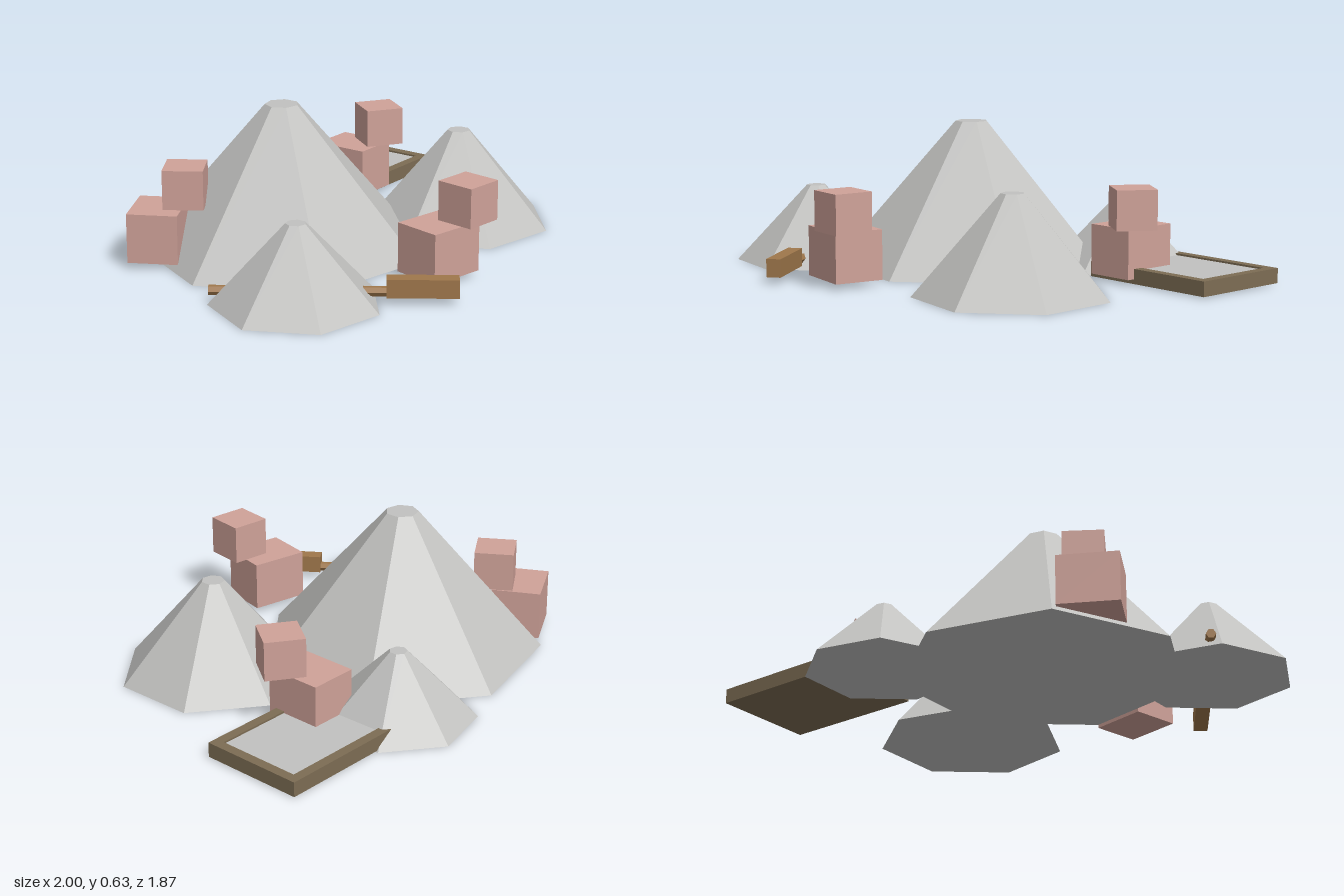
import * as THREE from 'three';

const mat = (name, color) => {
  const m = new THREE.MeshStandardMaterial({ color, flatShading: true });
  m.name = name;
  return m;
};

export function createModel() {
  const stone = mat('pale grey', 0xc2c2c0);
  const brick = mat('dusty pink', 0xcfa299);
  const wood = mat('warm wood', 0x9f774b);
  const trayWood = mat('dull brown', 0x7d6d54);

  const model = new THREE.Group();
  model.name = 'buildingMaterials';

  const add = (parent, name, geometry, material, x = 0, y = 0, z = 0, turn = 0) => {
    const mesh = new THREE.Mesh(geometry, material);
    mesh.name = name;
    mesh.position.set(x, y, z);
    mesh.rotation.y = turn;
    parent.add(mesh);
    return mesh;
  };
  const group = (name, x, y, z, turn) => {
    const g = new THREE.Group();
    g.name = name;
    g.position.set(x, y, z);
    g.rotation.y = turn;
    model.add(g);
    return g;
  };

  // Seven-sided heaps with small flat tops: x, z, radius, top radius, height
  const heaps = [
    ['largeHeap', -0.24, -0.09, 0.62, 0.072, 0.63],
    ['rightHeap', 0.556, 0.182, 0.415, 0.05, 0.42],
    ['leftHeap', -0.655, 0.475, 0.355, 0.042, 0.335],
    ['backHeap', 0.18, -0.61, 0.33, 0.038, 0.295],
  ];
  for (const [name, x, z, r, top, h] of heaps) {
    add(model, name, new THREE.CylinderGeometry(top, r, h, 7), stone, x, h / 2, z, Math.PI);
  }

  // Stacks of two blocks: lower x, z, turn, width, depth, then upper x, z, turn
  const stacks = [
    ['frontStack', -0.028, 0.645, 0, 0.255, 0.215, 0.078, 0.706, 0.08],
    ['leftStack', -0.753, -0.293, 0.7, 0.255, 0.215, -0.652, -0.235, 0.78],
    ['rightStack', 0.497, -0.44, 0.2, 0.215, 0.255, 0.598, -0.378, -0.4],
  ];
  for (const [name, x, z, turn, w, d, ux, uz, uTurn] of stacks) {
    const stack = group(name, 0, 0, 0, 0);
    add(stack, 'lowerBlock', new THREE.BoxGeometry(w, 0.213, d), brick, x, 0.132, z, turn);
    add(stack, 'upperBlock', new THREE.BoxGeometry(0.172, 0.17, 0.172), brick, ux, 0.324, uz, uTurn);
  }

  // Shallow tray: raised frame, floor and grey filling
  const tray = group('tray', 0.639, 0.005, -0.612, 0.203);
  const W = 0.638, D = 0.463, RIM = 0.043;
  const rect = (target, w, d) => target
    .moveTo(-w / 2, -d / 2).lineTo(w / 2, -d / 2)
    .lineTo(w / 2, d / 2).lineTo(-w / 2, d / 2).closePath();
  const outline = rect(new THREE.Shape(), W, D);
  outline.holes.push(rect(new THREE.Path(), W - 2 * RIM, D - 2 * RIM));
  const frame = new THREE.ExtrudeGeometry(outline, { depth: 0.064, bevelEnabled: false });
  frame.rotateX(-Math.PI / 2);
  add(tray, 'trayFrame', frame, trayWood);
  add(tray, 'trayFloor', new THREE.BoxGeometry(W - 2 * RIM, 0.02, D - 2 * RIM), trayWood, 0, 0.01, 0);
  add(tray, 'trayFilling', new THREE.BoxGeometry(W - 2 * RIM, 0.036, D - 2 * RIM), stone, 0, 0.038, 0);

  // Long handle running through the left heap, with a blocky head
  const tool = group('tool', -0.278, 0, 0.81, -0.755);
  add(tool, 'toolHead', new THREE.BoxGeometry(0.29, 0.078, 0.062), wood, 0, 0.066, 0);
  const shaft = new THREE.CylinderGeometry(0.021, 0.021, 0.72, 6);
  shaft.rotateZ(Math.PI / 2);
  add(tool, 'toolHandle', shaft, wood, -0.495, 0.046, 0);

  return model;
}
